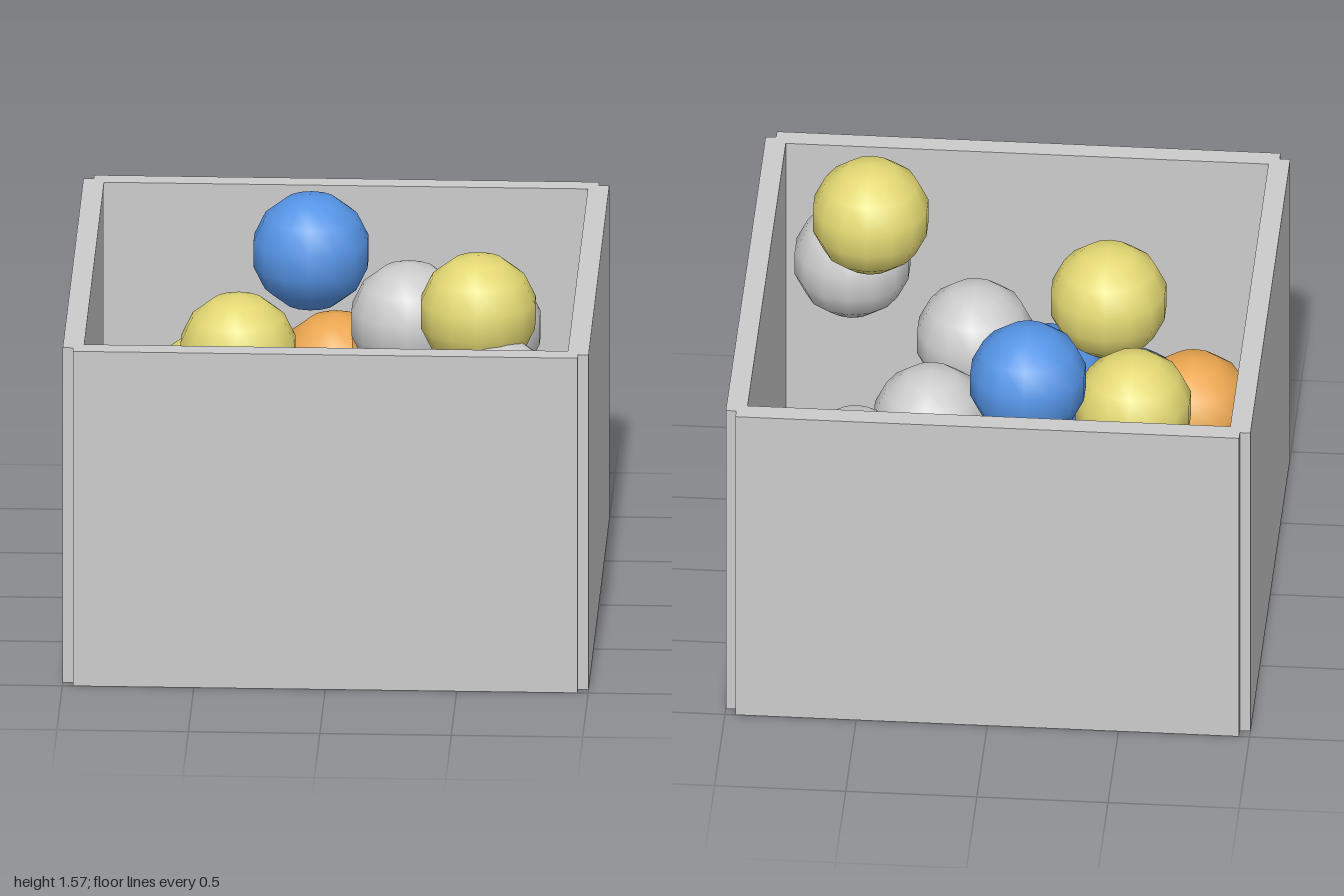
import * as THREE from 'three';

const HEIGHT = 1.35, THICK = 0.08, WALL = 1.92, RADIUS = 0.228;

const COLORS = { grey: 0xcccccc, yellow: 0xe3d873, blue: 0x5594e6, orange: 0xeaa650 };

// colour, x, y, z of each ball centre
const BALLS = [
  ['yellow', 0.56, 1.34, 0.46],
  ['yellow', -0.36, 1.11, 0.3],
  ['yellow', -0.48, 0.84, -0.03],
  ['blue', -0.115, 1.24, -0.485],
  ['blue', -0.12, 0.64, 0.425],
  ['blue', -0.43, 0.47, 0.55],
  ['orange', -0.66, 0.45, 0.58],
  ['orange', -0.1, 0.27, 0.635],
  ['orange', -0.025, 0.72, -0.6],
  ['orange', 0.23, 0.78, -0.52],
  ['grey', 0.26, 0.99, -0.42],
  ['grey', 0.535, 0.9, -0.605],
  ['grey', 0.175, 0.7, 0.625],
  ['grey', 0.64, 1.05, 0.6],
];

export function createModel() {
  const model = new THREE.Group();
  model.name = 'ballBin';

  const materials = {};
  for (const [key, color] of Object.entries(COLORS)) {
    materials[key] = new THREE.MeshStandardMaterial({ color });
  }

  // Four upright panels, open above and below, with notched corners
  const walls = new THREE.Group();
  walls.name = 'walls';
  const panel = new THREE.BoxGeometry(WALL, HEIGHT, THICK);
  panel.translate(0, HEIGHT / 2, 1 - THICK / 2);
  ['frontWall', 'leftWall', 'backWall', 'rightWall'].forEach((name, i) => {
    const wall = new THREE.Mesh(panel, materials.grey);
    wall.name = name;
    wall.rotation.y = (i * Math.PI) / 2;
    walls.add(wall);
  });
  model.add(walls);

  // Loose balls scattered inside
  const balls = new THREE.Group();
  balls.name = 'balls';
  const sphere = new THREE.SphereGeometry(RADIUS, 14, 7);
  sphere.rotateY(Math.PI / 2);
  BALLS.forEach(([color, x, y, z]) => {
    const ball = new THREE.Mesh(sphere, materials[color]);
    ball.name = color + 'Ball';
    ball.position.set(x, y, z);
    balls.add(ball);
  });
  model.add(balls);

  return model;
}
